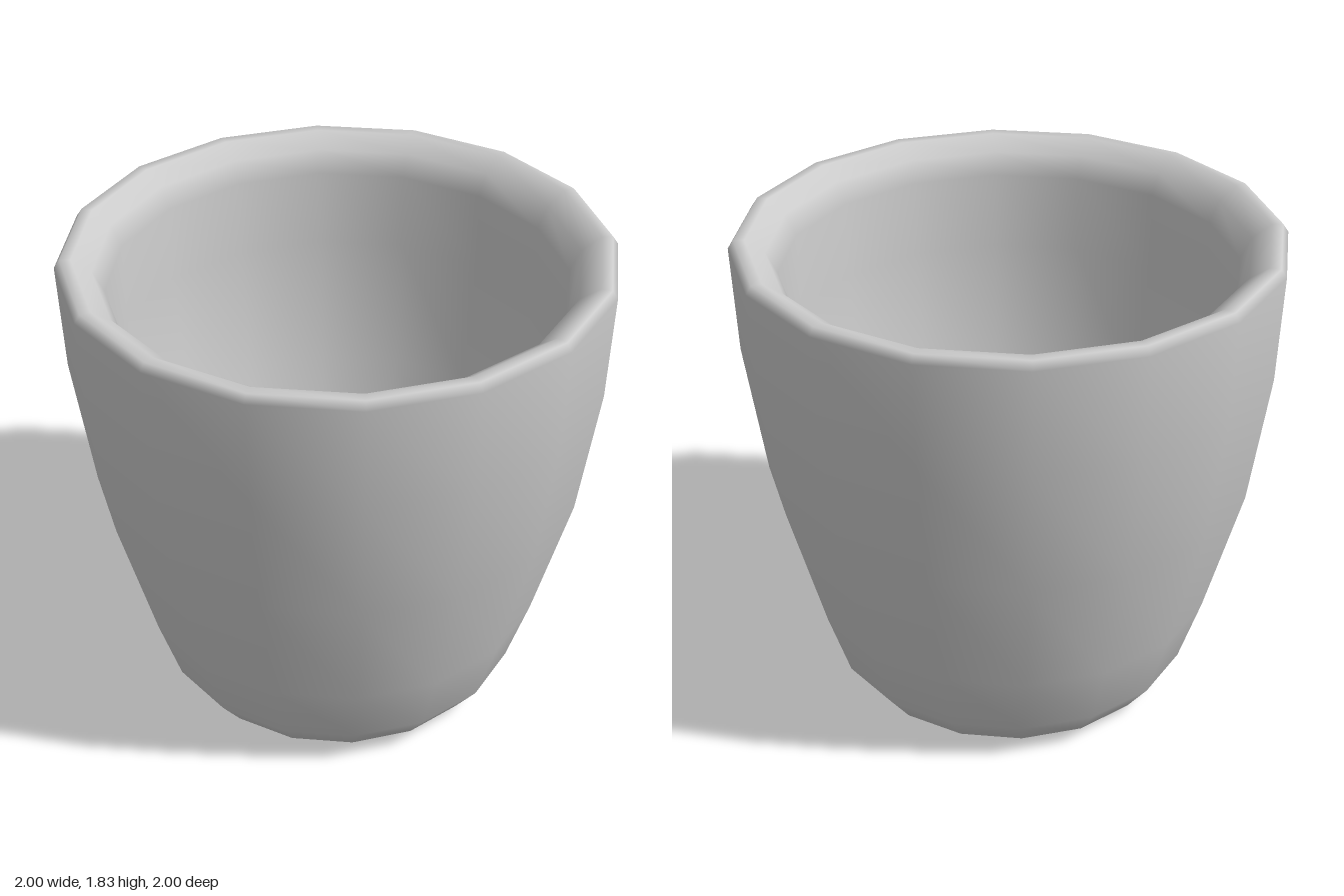
import * as THREE from 'three';

const SIDES = 16;

// Closed cup section: [radius, height] from the base centre, up the outside, over the rim, down the inside
const OUTSIDE = [
  [0, 0], [0.5, 0], [0.59, 0.03], [0.68, 0.145], [0.765, 0.4],
  [0.905, 0.9], [0.98, 1.4], [1, 1.8],
];
const RIM = [[0.98, 1.83], [0.94, 1.83], [0.87, 1.78], [0.83, 1.7]];
const INSIDE = [
  [0.83, 1.4], [0.77, 0.9], [0.64, 0.42], [0.57, 0.22], [0.48, 0.13], [0, 0.13],
];

export function createModel() {
  const model = new THREE.Group();
  model.name = 'pot';

  // One smooth-shaded shell with a rounded, thick rim
  const profile = [...OUTSIDE, ...RIM, ...INSIDE].map(([r, y]) => new THREE.Vector2(r, y));
  const shell = new THREE.Mesh(
    new THREE.LatheGeometry(profile, SIDES),
    new THREE.MeshStandardMaterial({ color: 0xcccccc }),
  );
  shell.name = 'potShell';
  model.add(shell);

  return model;
}
